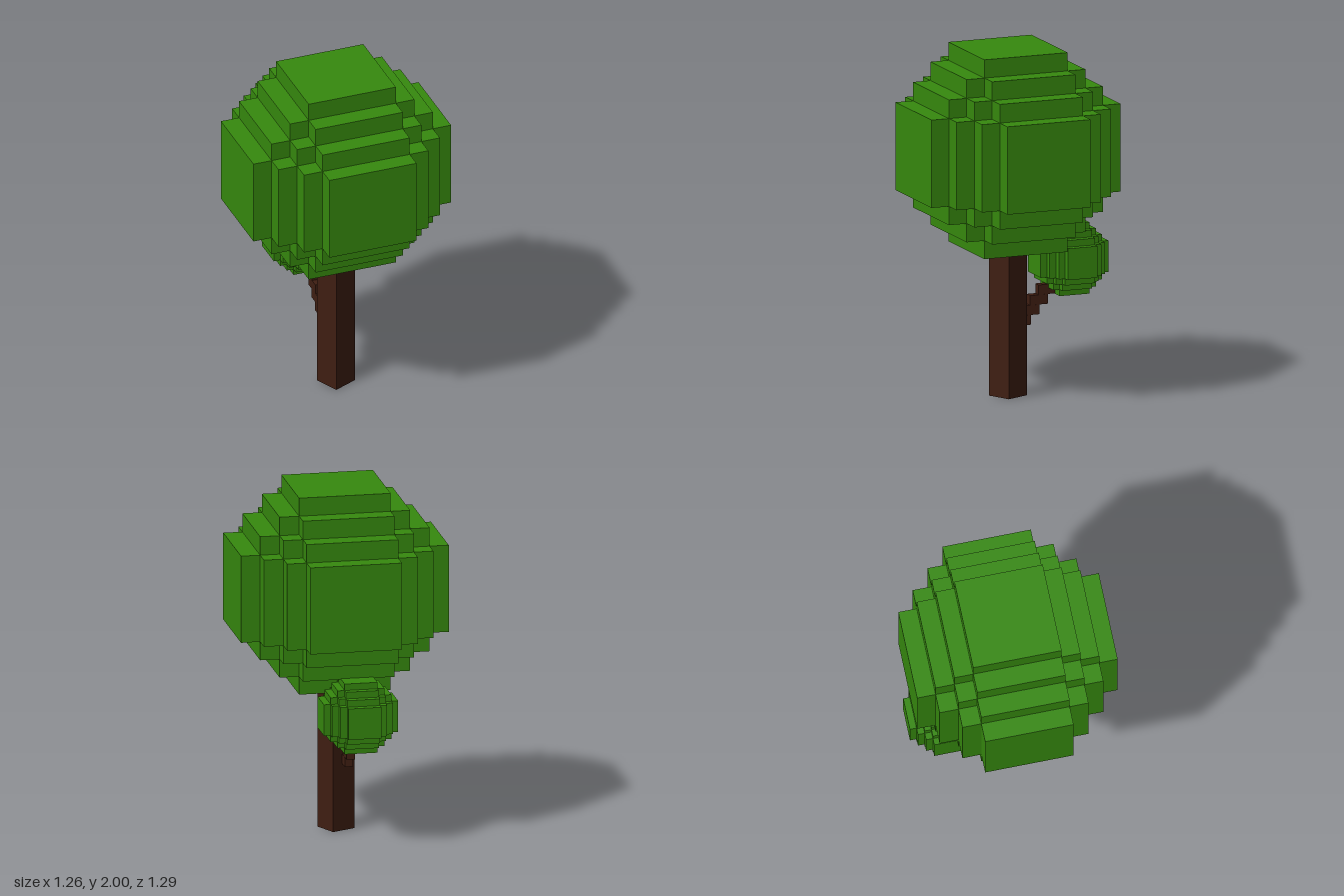
import * as THREE from 'three';

const TURN = -THREE.MathUtils.degToRad(25);
const RADII = [0.2525, 0.36, 0.4675, 0.5725];

const leaf = new THREE.MeshStandardMaterial({ color: 0x36890e, flatShading: true });
const bark = new THREE.MeshStandardMaterial({ color: 0x3f1e12, flatShading: true });

// Stepped round outline with n stairs in each quarter
function steppedOutline(n) {
  const quarter = [];
  for (let i = n; i >= 1; i--) {
    quarter.push([RADII[i - 1], RADII[n - i]]);
    if (i > 1) quarter.push([RADII[i - 2], RADII[n - i]]);
  }
  const points = [];
  for (let q = 0; q < 4; q++) {
    const a = (q * Math.PI) / 2;
    for (const [x, y] of quarter) {
      points.push(new THREE.Vector2(x, y).rotateAround(new THREE.Vector2(), a));
    }
  }
  return new THREE.Shape(points);
}

// Blocky ball of leaves: nested slabs, the taller the narrower
function leafBall(name, scale) {
  const ball = new THREE.Group();
  ball.name = name;
  RADII.forEach((half, k) => {
    const geo = new THREE.ExtrudeGeometry(steppedOutline(4 - k), { depth: 2 * half, bevelEnabled: false });
    geo.translate(0, 0, -half);
    geo.rotateX(-Math.PI / 2);
    const slab = new THREE.Mesh(geo, leaf);
    slab.name = 'leafLayer' + (k + 1);
    ball.add(slab);
  });
  ball.scale.set(1.005 * scale, scale, 1.04 * scale);
  ball.rotation.y = TURN;
  return ball;
}

export function createModel() {
  const tree = new THREE.Group();
  tree.name = 'tree';

  // Square trunk, reaching slightly into the crown
  const trunk = new THREE.Mesh(new THREE.BoxGeometry(0.15, 0.9, 0.15), bark);
  trunk.name = 'trunk';
  trunk.position.y = 0.45;
  tree.add(trunk);

  // Branch of stair-stepped blocks climbing into the small leaf ball
  const branch = new THREE.Group();
  branch.name = 'branch';
  for (let i = 0; i < 5; i++) {
    const block = new THREE.Mesh(new THREE.BoxGeometry(0.11, 0.056, 0.048), bark);
    block.name = 'branchBlock';
    block.position.set(-0.105 - 0.047 * i, 0.418 + 0.056 * i, -0.0215 * i);
    block.rotation.y = TURN;
    branch.add(block);
  }
  tree.add(branch);

  // Large crown and small side crown
  const crown = leafBall('crown', 1);
  crown.position.y = 1.4275;
  const sideCrown = leafBall('sideCrown', 0.358);
  sideCrown.position.set(-0.37, 0.76, -0.12);
  tree.add(crown, sideCrown);

  return tree;
}
